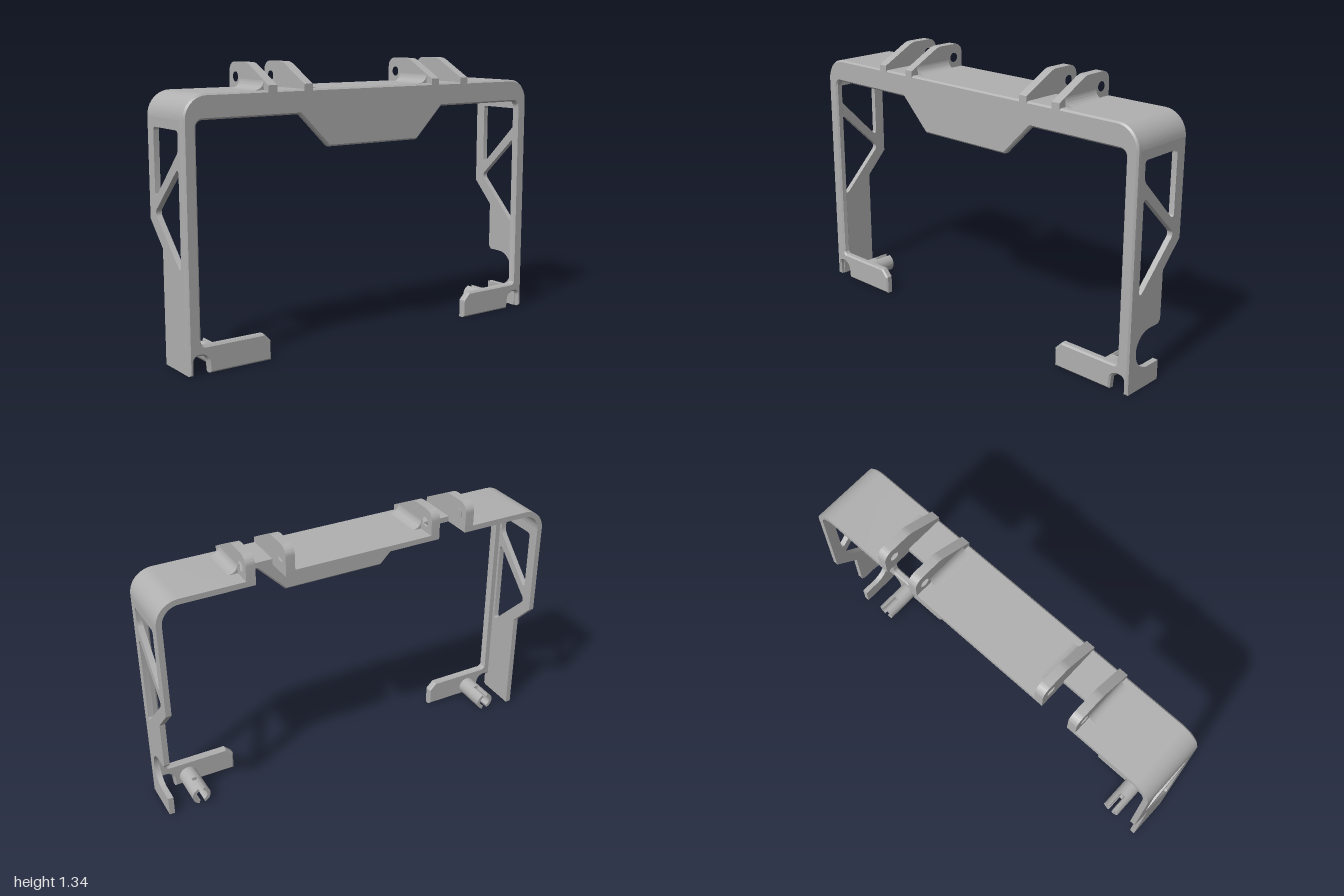
import * as THREE from 'three';
import { toCreasedNormals } from 'three/addons/utils/BufferGeometryUtils.js';

const grey = new THREE.MeshStandardMaterial({ color: 0xb0b0b0 });
grey.name = 'grey plastic';

// Closed outline through [x, y, cornerRadius] points
function outline(points, Type = THREE.Shape) {
  const path = new Type();
  const n = points.length;
  points.forEach(([x, y, r = 0], i) => {
    const c = new THREE.Vector2(x, y);
    const p = new THREE.Vector2(...points[(i + n - 1) % n].slice(0, 2));
    const q = new THREE.Vector2(...points[(i + 1) % n].slice(0, 2));
    const toP = p.sub(c).normalize();
    const toQ = q.sub(c).normalize();
    const at = (dir, d) => c.clone().addScaledVector(dir, d);
    const a = at(toP, r), b = at(toQ, r);
    if (i === 0) path.moveTo(a.x, a.y); else path.lineTo(a.x, a.y);
    if (r > 0) {
      const h1 = at(toP, r * 0.45), h2 = at(toQ, r * 0.45);
      path.bezierCurveTo(h1.x, h1.y, h2.x, h2.y, b.x, b.y);
    }
  });
  path.closePath();
  return path;
}

function addMesh(group, name, geometry) {
  const mesh = new THREE.Mesh(toCreasedNormals(geometry, 0.5), grey);
  mesh.name = name;
  group.add(mesh);
}

// Front-plane shape extruded from z0 to z1
function alongZ(shape, z0, z1, bevel = 0) {
  const g = new THREE.ExtrudeGeometry(shape, {
    depth: z1 - z0 - 2 * bevel, curveSegments: 10, bevelEnabled: bevel > 0,
    bevelThickness: bevel, bevelSize: bevel, bevelOffset: -bevel, bevelSegments: 1,
  });
  return g.translate(0, 0, z0 + bevel);
}

// Side-plane shape (drawn with -z as its horizontal) extruded from x0 to x1
function alongX(shape, x0, x1) {
  const g = new THREE.ExtrudeGeometry(shape, { depth: x1 - x0, curveSegments: 10, bevelEnabled: false });
  return g.rotateY(Math.PI / 2).translate(x0, 0, 0);
}

function box(x0, x1, y0, y1, z0, z1) {
  return new THREE.BoxGeometry(x1 - x0, y1 - y0, z1 - z0)
    .translate((x0 + x1) / 2, (y0 + y1) / 2, (z0 + z1) / 2);
}

const flipZ = (pts) => pts.map(([z, y, r]) => [-z, y, r]);
const TOP = 1.22, FRONT = 0.17, BACK = -0.17, JOIN = 0.147, T = 0.027;

function ring(cx, cy, outer, inner, a0, a1) {
  const s = new THREE.Shape();
  s.absarc(cx, cy, outer, a0, a1, false);
  s.absarc(cx, cy, inner, a1, a0, true);
  s.closePath();
  return s;
}

export function createModel() {
  const model = new THREE.Group();
  model.name = 'mountingFrame';

  // Front frame: half outline from the centre tab round to the outer top corner
  const half = [
    [0.26, 0.952], [0.415, 1.108], [0.94, 1.108, 0.03], [0.94, 0.128, 0.02],
    [0.622, 0.128], [0.585, 0.09], [0.585, 0], [0.9, 0], [0.908, 0.085, 0.035],
    [0.978, 0.085, 0.025], [0.978, 0], [1, 0], [1, TOP, 0.11],
  ];
  const mirrored = half.map(([x, y, r]) => [-x, y, r]).reverse();
  addMesh(model, 'frontFrame', alongZ(outline([...half, ...mirrored]), 0.13, FRONT, 0.008));

  // Side walls with two windows; the left one has a round cutout open to the back
  const windows = [
    [[0.115, 1.065, 0.015], [-0.115, 1.065, 0.015], [-0.115, 0.745, 0.035], [0.115, 0.975, 0.02]],
    [[0.115, 0.91, 0.035], [-0.122, 0.683, 0.025], [0.115, 0.445, 0.035]],
  ];
  const cutout = [
    [-0.055, 0.095], [0.117, 0.095, 0.092], [0.117, 0.28, 0.092], [-0.04, 0.28], [-0.055, 0.297],
  ];
  for (const s of [-1, 1]) {
    const side = new THREE.Group();
    side.name = s > 0 ? 'leftSide' : 'rightSide';
    model.add(side);

    const wall = outline(flipZ([
      [JOIN, 0], [-0.055, 0], ...(s > 0 ? cutout : []),
      [-0.047, 0.53], [BACK, 0.65], [BACK, 1.11], [JOIN, 1.11],
    ].map(([z, y, r]) => [y > 0.3 && z === -0.047 ? -0.055 : z, y, r])));
    wall.holes = windows.map((w) => outline(flipZ(w), THREE.Path));
    addMesh(side, 'sideWall', alongX(wall, s > 0 ? 1 - T : -1, s > 0 ? 1 : -1 + T));

    // Rounded shoulder running into the top wall
    const shoulder = [
      [1, 1.11], [1, TOP, 0.11], [0.54, TOP], [0.54, TOP - T], [1 - T, TOP - T, 0.083], [1 - T, 1.11],
    ].map(([x, y, r]) => [x * s, y, r]);
    addMesh(side, 'shoulder', alongZ(outline(shoulder), BACK, JOIN));

    // Top wall is cut away at the back between the two lugs
    const bridge = [0.39 * s, 0.545 * s].sort((a, b) => a - b);
    addMesh(side, 'topBridge', box(...bridge, TOP - T, TOP, -0.03, JOIN));

    // Hinge lugs with pin holes and a flared foot on the outer face of each
    const lug = outline(flipZ([
      [FRONT, TOP - T], [FRONT, 1.243], [-0.01, 1.337, 0.02], [BACK, 1.337, 0.045], [BACK, TOP - T],
    ]));
    const hole = new THREE.Path();
    hole.absarc(0.115, 1.27, 0.023, 0, Math.PI * 2, true);
    lug.holes = [hole];
    for (const [inner, outer, dir] of [[0.395, 0.35, -1], [0.538, 0.583, 1]]) {
      const xs = [inner * s, outer * s].sort((a, b) => a - b);
      addMesh(side, 'hingeLug', alongX(lug, ...xs));
      const flare = new THREE.Shape();
      const f = (d) => (outer + dir * d) * s;
      flare.moveTo(f(-0.01), 1.21);
      flare.lineTo(f(0.045), 1.21);
      flare.lineTo(f(0.045), TOP);
      flare.quadraticCurveTo(f(0.003), TOP + 0.005, f(0), TOP + 0.042);
      flare.lineTo(f(-0.01), TOP + 0.042);
      flare.closePath();
      addMesh(side, 'lugFlare', alongZ(flare, -0.08, 0.13));
    }

    // Split tubular peg behind the foot
    const px = 0.83 * s, py = 0.048;
    const tube = new THREE.Shape();
    tube.absarc(px, py, 0.046, 0, Math.PI * 2, false);
    const bore = new THREE.Path();
    bore.absarc(px, py, 0.029, 0, Math.PI * 2, true);
    tube.holes = [bore];
    addMesh(side, 'pegBase', alongZ(tube, 0.04, 0.14));
    for (const mid of [0, Math.PI]) {
      addMesh(side, 'pegProng', alongZ(ring(px, py, 0.046, 0.029, mid - 1.25, mid + 1.25), -0.05, 0.04));
    }
  }

  // Middle of the top wall
  addMesh(model, 'topWall', box(-0.395, 0.395, TOP - T, TOP, BACK, JOIN));

  return model;
}
